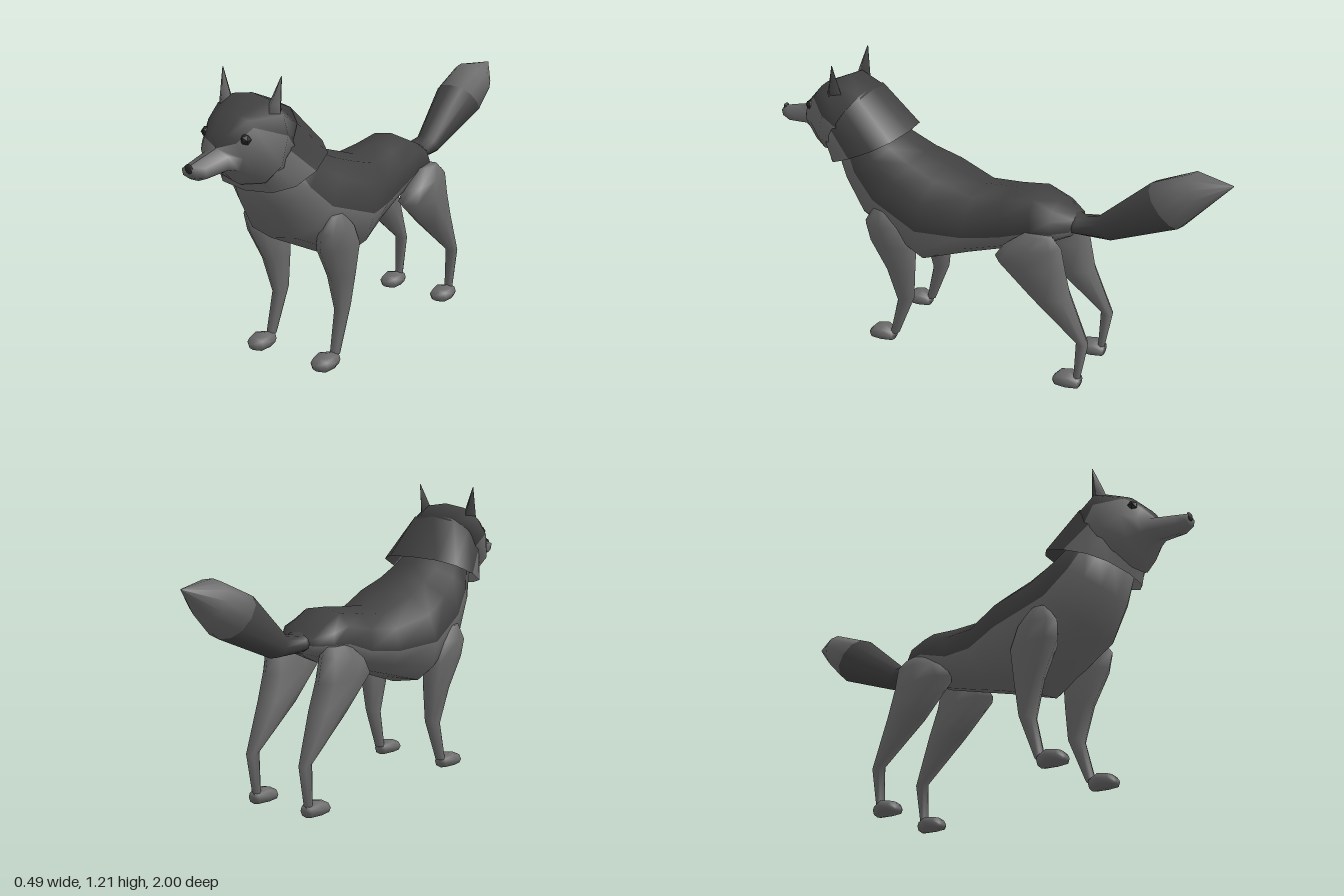
import * as THREE from 'three';

const mat = (name, color) => {
  const m = new THREE.MeshStandardMaterial({ color, side: THREE.DoubleSide });
  m.name = name;
  return m;
};

// Smooth skin over slanted rings. Ring: [az, ay, bz, by, halfWidth, splitY, x]
// a and b are opposite ends of the ring in the side plane; the skin takes
// the first material on the a side of splitY and the second on the b side.
function loft(name, rings, mats, { capped = true, power = 0.9, seg = 3 } = {}) {
  const cols = seg * 4, pos = [], first = [], second = [];
  const bend = v => Math.sign(v) * Math.abs(v) ** power;
  rings.forEach(([az, ay, bz, by, w, split, x = 0]) => {
    const cz = (az + bz) / 2, cy = (ay + by) / 2, hz = (az - bz) / 2, hy = (ay - by) / 2;
    let ts = Math.PI / 2;
    if (split !== undefined) {
      const c = THREE.MathUtils.clamp((split - cy) / hy, -1, 1);
      ts = Math.acos(Math.sign(c) * Math.abs(c) ** (1 / power));
    }
    for (let j = 0; j < cols; j++) {
      const k = j <= seg * 2 ? j : cols - j;
      const t = k <= seg ? ts * k / seg : ts + (Math.PI - ts) * (k - seg) / seg;
      const c = bend(Math.cos(t)), s = bend(Math.sin(t)) * (j <= seg * 2 ? 1 : -1);
      pos.push(x + w * s, cy + hy * c, cz + hz * c);
    }
  });
  const n = rings.length, last = (n - 1) * cols;
  [rings[0], rings[n - 1]].forEach(r => pos.push(r[6] || 0, (r[1] + r[3]) / 2, (r[0] + r[2]) / 2));
  for (let j = 0; j < cols; j++) {
    const out = j < seg || j >= cols - seg ? first : second, k = (j + 1) % cols;
    for (let i = 0; i < n - 1; i++) {
      const p = i * cols + j, q = i * cols + k;
      out.push(p, q, p + cols, q, q + cols, p + cols);
    }
    if (capped) out.push(n * cols, k, j, n * cols + 1, last + j, last + k);
  }
  // turn faces outward by the sign of the enclosed volume
  const mid = new THREE.Vector3().fromArray(pos, n * cols * 3)
    .add(new THREE.Vector3().fromArray(pos, n * cols * 3 + 3)).multiplyScalar(0.5);
  const v = i => new THREE.Vector3().fromArray(pos, i * 3).sub(mid);
  const index = [...first, ...second];
  let volume = 0;
  for (let i = 0; i < index.length; i += 3)
    volume += v(index[i]).cross(v(index[i + 1])).dot(v(index[i + 2]));
  if (volume < 0)
    for (let i = 0; i < index.length; i += 3) [index[i], index[i + 1]] = [index[i + 1], index[i]];

  const g = new THREE.BufferGeometry();
  g.setAttribute('position', new THREE.Float32BufferAttribute(pos, 3));
  g.setIndex(index);
  g.addGroup(0, first.length, 0);
  g.addGroup(first.length, second.length, 1);
  g.computeVertexNormals();
  const mesh = new THREE.Mesh(g, mats);
  mesh.name = name;
  return mesh;
}

export function createModel() {
  const dark = mat('dark fur', 0x404040), light = mat('light fur', 0x6a6a6a);
  const black = mat('eye and nose', 0x2a2a2a);
  const both = [dark, light], grey = [light, light];
  const model = new THREE.Group();
  model.name = 'wolf';

  // body with dark back and light belly
  model.add(loft('body', [
    [0.52, 0.98, 0.70, 0.80, 0.14, 0.89],
    [0.40, 0.89, 0.65, 0.69, 0.182, 0.775],
    [0.30, 0.845, 0.565, 0.545, 0.208, 0.68],
    [0.20, 0.81, 0.26, 0.39, 0.245, 0.60],
    [0.04, 0.755, 0.06, 0.46, 0.185, 0.583],
    [-0.10, 0.77, -0.10, 0.51, 0.155, 0.605],
    [-0.22, 0.785, -0.25, 0.56, 0.15, 0.655],
    [-0.30, 0.745, -0.33, 0.60, 0.138, 0.66],
    [-0.385, 0.705, -0.375, 0.62, 0.085, 0.66],
  ], both));

  // head, with a dark cap that narrows to the bridge of the muzzle
  model.add(loft('head', [
    [0.54, 1.085, 0.68, 0.80, 0.17, 0.94],
    [0.65, 1.13, 0.73, 0.80, 0.195, 1.005],
    [0.77, 1.075, 0.77, 0.825, 0.145, 1.04],
    [0.83, 1.01, 0.81, 0.865, 0.103, 0.99],
    [0.85, 0.965, 0.85, 0.873, 0.064, 0.965],
    [0.955, 0.94, 0.945, 0.868, 0.05, 0.94],
    [0.995, 0.93, 0.985, 0.885, 0.036, 0.93],
  ], both));

  // open flaring ruff behind the head
  model.add(loft('ruff', [
    [0.55, 1.088, 0.73, 0.82, 0.176, 0.94],
    [0.38, 0.92, 0.71, 0.773, 0.212, 0.845],
  ], both, { capped: false, power: 0.8 }));

  // tail and pale tip
  const brush = [-0.68, 0.905, -0.82, 0.75, 0.10];
  model.add(loft('tail', [
    [-0.31, 0.735, -0.32, 0.635, 0.06],
    [-0.40, 0.70, -0.39, 0.63, 0.062],
    [-0.47, 0.715, -0.54, 0.63, 0.05],
    brush,
  ], [dark, dark]));
  model.add(loft('tailTip', [
    brush,
    [-0.84, 0.975, -0.895, 0.835, 0.095],
    [-1.0, 0.957, -1.0, 0.953, 0.003],
  ], grey));

  // nose
  const nose = new THREE.Mesh(new THREE.SphereGeometry(0.021, 6, 5), black);
  nose.name = 'nose';
  nose.scale.set(1, 0.85, 0.4);
  nose.position.set(0, 0.923, 0.99);
  model.add(nose);

  const foot = (name, z, x) => loft(name, [
    [z, 0.048, z + 0.002, 0, 0.03, undefined, x],
    [z + 0.05, 0.06, z + 0.05, 0, 0.05, undefined, x],
    [z + 0.095, 0.05, z + 0.10, 0, 0.044, undefined, x],
    [z + 0.114, 0.03, z + 0.114, 0.006, 0.022, undefined, x],
  ], grey, { seg: 2, power: 0.75 });

  for (const s of [1, -1]) {
    const side = s > 0 ? 'left' : 'right';

    // eye
    const eye = new THREE.Mesh(new THREE.IcosahedronGeometry(0.022, 0), black);
    eye.name = side + 'Eye';
    eye.position.set(s * 0.093, 1.0, 0.797);
    model.add(eye);

    // ear: dark shell with a light strip down the front
    model.add(loft(side + 'Ear', [
      [0.70, 1.06, 0.62, 1.02, 0.034, 1.046, s * 0.116],
      [0.685, 1.11, 0.63, 1.09, 0.028, 1.103, s * 0.118],
      [0.652, 1.209, 0.648, 1.205, 0.002, 1.2075, s * 0.14],
    ], [light, dark], { seg: 1 }));

    // front leg
    const leg = (name, rings, shift) => loft(name,
      rings.map(([a, b, c, d, w, x]) => [a, b, c, d, w, undefined, s * x + shift]), grey, { seg: 2 });
    model.add(leg(side + 'FrontLeg', [
      [0.45, 0.64, 0.38, 0.64, 0.028, 0.19],
      [0.495, 0.57, 0.31, 0.58, 0.048, 0.188],
      [0.485, 0.50, 0.262, 0.49, 0.061, 0.174],
      [0.41, 0.365, 0.275, 0.37, 0.046, 0.167],
      [0.367, 0.21, 0.288, 0.23, 0.027, 0.16],
      [0.405, 0.04, 0.365, 0.04, 0.02, 0.165],
    ], 0), foot(side + 'FrontFoot', 0.388, s * 0.165));

    // hind leg, the pair set slightly to the left
    const shift = 0.016;
    model.add(leg(side + 'HindLeg', [
      [-0.22, 0.655, -0.34, 0.655, 0.03, 0.132],
      [-0.13, 0.585, -0.38, 0.62, 0.056, 0.138],
      [-0.09, 0.525, -0.40, 0.52, 0.066, 0.136],
      [-0.25, 0.39, -0.425, 0.41, 0.062, 0.132],
      [-0.455, 0.22, -0.508, 0.21, 0.025, 0.136],
      [-0.45, 0.04, -0.478, 0.04, 0.019, 0.135],
    ], shift), foot(side + 'HindFoot', -0.478, s * 0.136 + shift));
  }
  return model;
}
